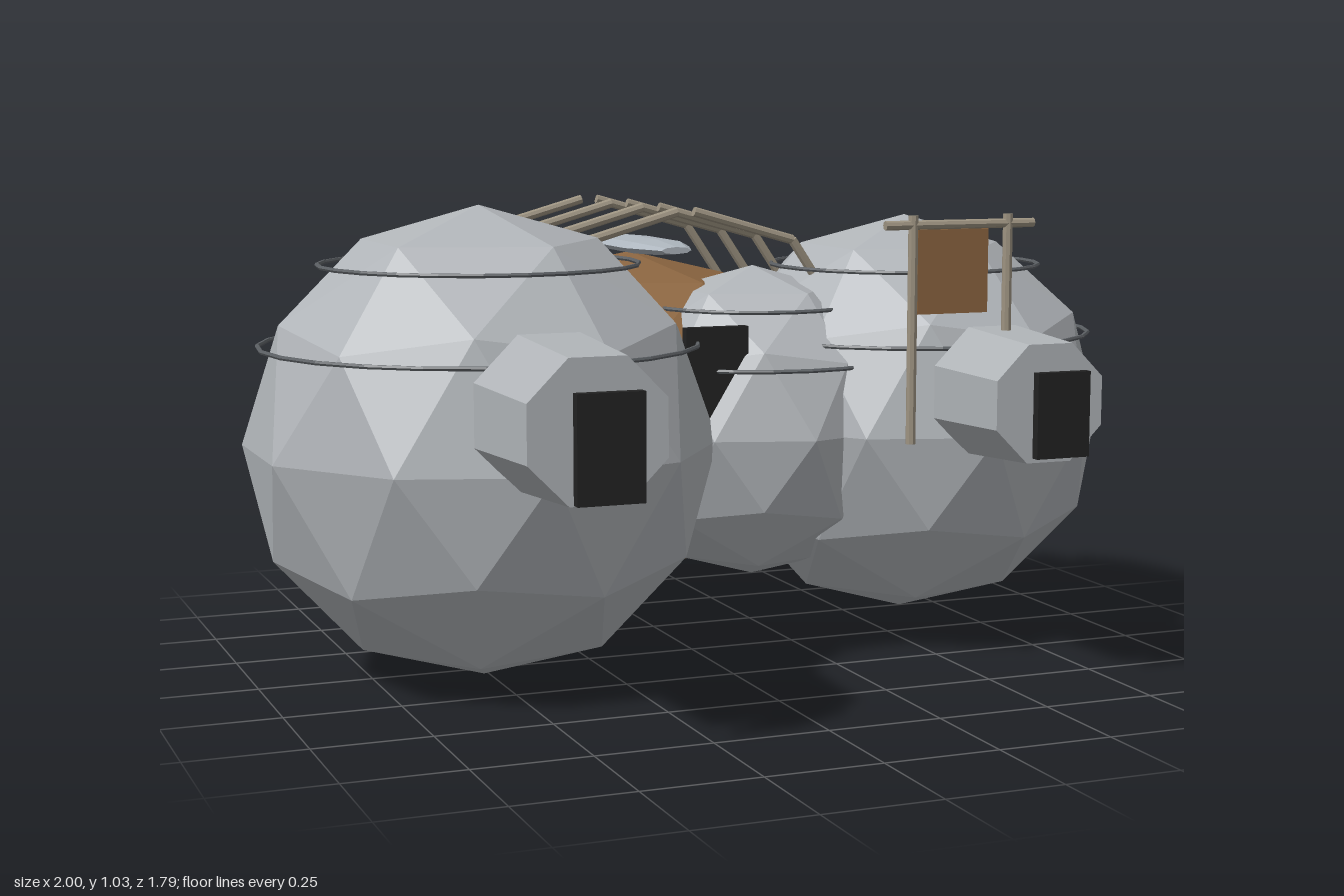
import * as THREE from 'three';

const mat = (name, color) => {
  const m = new THREE.MeshStandardMaterial({ color });
  m.name = name;
  return m;
};

export function createModel() {
  const root = new THREE.Group();
  root.name = 'domeHabitat';

  const shell = mat('pale grey shell', 0xb0b4b8);
  const earth = mat('brown earth', 0x8b6540);
  const dark = mat('near black', 0x222222);
  const seam = mat('dark grey seam', 0x5c6064);
  const pole = mat('weathered pole', 0x9c9280);
  const canopy = mat('blue grey canopy', 0xaeb6be);

  // Adds a faceted mesh
  const add = (name, geometry, material, x = 0, y = 0, z = 0, parent = root) => {
    const g = geometry.index ? geometry.toNonIndexed() : geometry;
    g.computeVertexNormals();
    const mesh = new THREE.Mesh(g, material);
    mesh.name = name;
    mesh.position.set(x, y, z);
    parent.add(mesh);
    return mesh;
  };

  const box = (name, material, x0, x1, y0, y1, z, t, parent = root) =>
    add(name, new THREE.BoxGeometry(x1 - x0, y1 - y0, t), material,
      (x0 + x1) / 2, (y0 + y1) / 2, z, parent);

  // Straight rod between two points
  const rod = (name, a, b, r, parent) => {
    const p = new THREE.Vector3(...a), q = new THREE.Vector3(...b);
    const d = q.clone().sub(p);
    const mesh = add(name, new THREE.CylinderGeometry(r, r, d.length(), 8), pole, 0, 0, 0, parent);
    mesh.position.copy(p).add(q).multiplyScalar(0.5);
    mesh.quaternion.setFromUnitVectors(new THREE.Vector3(0, 1, 0), d.normalize());
  };

  // Icosphere standing on one of its five-sided corners
  const ico = (rx, ry, rz) =>
    new THREE.IcosahedronGeometry(1, 1)
      .rotateZ(-Math.atan(2 / (1 + Math.sqrt(5))))
      .scale(rx, ry, rz);

  // Grey domes, each with two seam rings
  const domes = [
    ['rightDome', -0.51, 0.52, 0.045, 0.515],
    ['leftDome', 0.553, 0.523, -0.045, 0.467],
    ['middleDome', 0.168, 0.522, -0.047, 0.359],
  ];
  for (const [name, x, y, z, r] of domes) {
    const group = new THREE.Group();
    group.name = name;
    group.position.set(x, y, z);
    root.add(group);
    add(name + 'Shell', ico(r, r, r), shell, 0, 0, 0, group);
    for (const [h, ringR] of [[0.755, 0.67], [0.42, 0.922]]) {
      const ring = new THREE.TorusGeometry(ringR * r, 0.005, 6, 24).rotateX(Math.PI / 2);
      add('seamRing', ring, seam, 0, h * r, 0, group);
    }
  }

  // Brown rear mound
  add('rearMound', ico(0.453, 0.38, 0.563), earth, -0.027, 0.52, -0.332);

  // Octagonal entrance tunnels
  const tunnel = (name, x, y, z0, z1, apothem) => {
    const r = apothem / Math.cos(Math.PI / 8);
    const g = new THREE.CylinderGeometry(r * 0.9, r, z1 - z0, 8)
      .rotateY(Math.PI / 8).rotateX(Math.PI / 2);
    add(name, g, shell, x, y, (z0 + z1) / 2);
  };
  tunnel('rightTunnel', -0.51, 0.648, 0.525, 0.815, 0.156);
  tunnel('leftTunnel', 0.552, 0.628, 0.39, 0.645, 0.139);

  // Dark door panels
  box('rightDoor', dark, -0.578, -0.443, 0.52, 0.73, 0.88, 0.022);
  box('leftDoor', dark, 0.49, 0.613, 0.52, 0.70, 0.695, 0.02);
  box('middleDoor', dark, -0.1, 0.045, 0.52, 0.77, 0.21, 0.022);

  // Bent rod ribs, two mirrored halves per arch
  const rib = [[0.02, 1.01], [0.26, 0.942], [0.397, 0.74], [0.397, 0.527]];
  for (const z of [-0.625, -0.405, -0.19, 0.03]) {
    const arch = new THREE.Group();
    arch.name = 'ribArch';
    arch.position.set(-0.027, 0, z);
    root.add(arch);
    for (const s of [-1, 1]) {
      for (let i = 0; i < rib.length - 1; i++) {
        rod('ribRod', [s * rib[i][0], rib[i][1], 0], [s * rib[i + 1][0], rib[i + 1][1], 0], 0.011, arch);
      }
    }
  }

  // Flattened canopy pod over the mound
  const podProfile = [[0, -0.235], [0.45, -0.235], [1, -0.11], [1, 0.11], [0.45, 0.235], [0, 0.235]]
    .map(([r, h]) => new THREE.Vector2(r, h));
  add('canopyPod',
    new THREE.LatheGeometry(podProfile, 8).rotateX(Math.PI / 2).scale(0.08, 0.018, 1),
    canopy, -0.027, 0.92, -0.26);

  // Post frame with hanging brown panel
  const frame = new THREE.Group();
  frame.name = 'signFrame';
  root.add(frame);
  for (const x of [0.326, 0.553]) rod('framePost', [x, 0.527, 0.45], [x, 1.015, 0.45], 0.011, frame);
  rod('frameCrossbar', [0.26, 0.995, 0.45], [0.615, 0.995, 0.45], 0.01, frame);
  box('hangingPanel', earth, 0.335, 0.503, 0.805, 0.985, 0.45, 0.012, frame);

  return root;
}
